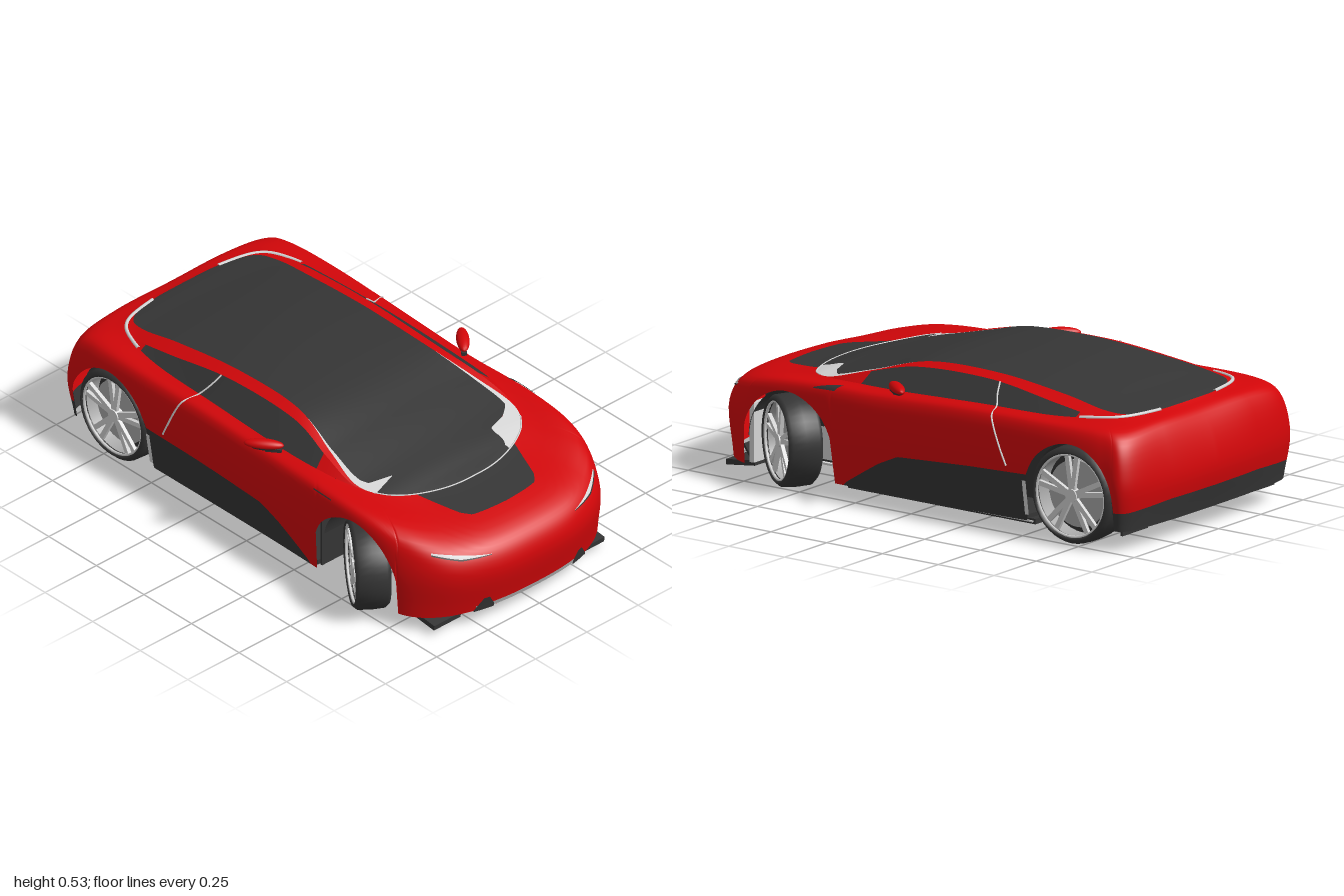
import * as THREE from 'three';
import { mergeVertices } from 'three/addons/utils/BufferGeometryUtils.js';

const material = (name, color) => {
  const m = new THREE.MeshStandardMaterial({ color, side: THREE.DoubleSide });
  m.name = name;
  return m;
};
const V = (x, y, z) => new THREE.Vector3(x, y, z);

// piecewise linear lookup through [position, value] knots
const knots = (...p) => k => {
  if (k <= p[0][0]) return p[0][1];
  for (let i = 1; i < p.length; i++) {
    if (k <= p[i][0]) return THREE.MathUtils.mapLinear(k, p[i - 1][0], p[i][0], p[i - 1][1], p[i][1]);
  }
  return p[p.length - 1][1];
};

// Ring round the car: k = 0 is the nose, k = 12 the tail on the left, k = -12 on the right
const ring = half => {
  const pts = [...half.slice(1).reverse().map(([x, y, z]) => V(-x, y, z)), ...half.map(p => V(...p))];
  const curve = new THREE.CatmullRomCurve3(pts, false, 'catmullrom', 0.5);
  return k => curve.getPoint((k + 12) / 24);
};

const bottom = ring([[0, .065, .975], [.2, .065, .96], [.36, .06, .9], [.46, .06, .8], [.488, .06, .65], [.485, .055, .4],
  [.475, .05, .1], [.475, .05, -.25], [.485, .06, -.6], [.49, .08, -.85], [.46, .08, -.94], [.25, .08, -.965], [0, .08, -.97]]);
const waist = ring([[0, .24, 1], [.2, .24, .985], [.36, .25, .92], [.462, .26, .8], [.5, .28, .65], [.504, .28, .4],
  [.5, .28, .1], [.503, .29, -.25], [.512, .29, -.6], [.513, .27, -.85], [.48, .26, -.955], [.25, .25, -.99], [0, .25, -1]]);
const shoulder = ring([[0, .325, .95], [.2, .325, .935], [.34, .335, .87], [.435, .36, .77], [.483, .385, .63], [.493, .4, .4],
  [.482, .405, .1], [.482, .42, -.25], [.488, .425, -.6], [.48, .42, -.83], [.44, .41, -.92], [.25, .42, -.94], [0, .42, -.94]]);
const base = ring([[0, .385, .66], [.12, .385, .65], [.25, .39, .605], [.34, .4, .54], [.39, .41, .44], [.42, .42, .3],
  [.43, .425, .1], [.427, .437, -.25], [.415, .44, -.55], [.385, .45, -.72], [.32, .455, -.82], [.16, .455, -.86], [0, .455, -.865]]);
const rail = ring([[0, .385, .66], [.12, .385, .65], [.25, .39, .605], [.34, .4, .54], [.387, .412, .44], [.378, .455, .29],
  [.345, .5, .08], [.35, .508, -.25], [.372, .475, -.55], [.37, .454, -.72], [.318, .456, -.82], [.16, .455, -.86], [0, .455, -.865]]);
const glassEdge = ring([[0, .385, .66], [.12, .385, .65], [.25, .39, .605], [.34, .4, .54], [.38, .414, .44], [.35, .458, .28],
  [.303, .515, .06], [.302, .522, -.25], [.315, .495, -.55], [.325, .468, -.73], [.29, .458, -.82], [.16, .455, -.86], [0, .455, -.865]]);
const ridge = ring([[0, .385, .66], [0, .388, .65], [0, .4, .605], [0, .418, .54], [0, .44, .44], [0, .478, .28],
  [0, .522, .06], [0, .532, -.25], [0, .508, -.55], [0, .478, -.73], [0, .465, -.82], [0, .457, -.86], [0, .455, -.865]]);

// Body skin: v runs 0 bottom, 1 waist, 2 shoulder, 3 base of the cabin
const columns = new Map();
const body = (k, v) => {
  if (!columns.has(k)) columns.set(k, new THREE.CatmullRomCurve3([bottom(k), waist(k), shoulder(k), base(k)]));
  return columns.get(k).getPoint(v / 3);
};
const heightToV = (k, y) => {
  let a = 0, b = 2.6;
  if (body(k, 0).y >= y) return 0;
  for (let i = 0; i < 22; i++) {
    const m = (a + b) / 2;
    if (body(k, m).y < y) a = m; else b = m;
  }
  return a;
};
const wheelArch = k => {
  const z = waist(k).z;
  const arc = (c, y, r) => Math.abs(z - c) < r ? y + Math.sqrt(r * r - (z - c) ** 2) : 0;
  return Math.max(arc(.56, .16, .205), arc(-.71, .18, .195));
};
const darkLine = knots([5.25, 0], [5.3, .06], [5.83, .16], [6.1, .2], [7, .22], [8, .237], [9.2, .15], [10, .15], [11, .165]);
const cabinSide = (k, s) => base(k).lerp(rail(k), s);
const cabinRail = (k, s) => rail(k).lerp(glassEdge(k), s);
const canopy = (k, s) => {
  const e = glassEdge(k), c = ridge(k);
  return V(e.x * (1 - s), e.y + (c.y - e.y) * (1 - (1 - s) ** 2), e.z + (c.z - e.z) * s);
};

export function createModel() {
  const car = new THREE.Group();
  car.name = 'sportsCar';
  const red = material('red paint', 0xd20609), dark = material('dark glass and trim', 0x353535);
  const light = material('light trim', 0xd6d6d6), silver = material('wheel silver', 0xaaaaaa);

  const add = (name, geometry, mat, parent = car, x = 0, y = 0, z = 0) => {
    const mesh = new THREE.Mesh(geometry, mat);
    mesh.name = name;
    mesh.position.set(x, y, z);
    parent.add(mesh);
    return mesh;
  };
  const box = (w, h, d) => new THREE.BoxGeometry(w, h, d);

  // Patch of a skin between k0 and k1, from lo(k) to hi(k), raised by lift
  const band = (name, mat, skin, k0, k1, lo, hi, nk, nv, lift = 0) => {
    const pos = [], idx = [];
    for (let i = 0; i <= nk; i++) {
      const k = k0 + (k1 - k0) * i / nk, a = lo(k), b = hi(k);
      for (let j = 0; j <= nv; j++) {
        pos.push(...skin(k, a + (b - a) * j / nv).toArray());
        if (i < nk && j < nv) {
          const p = i * (nv + 1) + j, q = p + nv + 1;
          idx.push(p, q, p + 1, q, q + 1, p + 1);
        }
      }
    }
    let g = new THREE.BufferGeometry();
    g.setAttribute('position', new THREE.Float32BufferAttribute(pos, 3));
    g.setIndex(idx);
    g = mergeVertices(g, 1e-5);
    g.computeVertexNormals();
    const P = g.attributes.position, N = g.attributes.normal;
    if (lift) for (let i = 0; i < P.count; i++) {
      P.setXYZ(i, P.getX(i) + N.getX(i) * lift, P.getY(i) + N.getY(i) * lift, P.getZ(i) + N.getZ(i) * lift);
    }
    return add(name, g, mat);
  };
  const pair = (name, mat, skin, k0, k1, ...rest) => {
    band('left' + name, mat, skin, k0, k1, ...rest);
    band('right' + name, mat, skin, -k1, -k0, ...rest);
  };
  const zero = () => 0, one = () => 1;

  // Painted shell with wheel arches, dark sills, rear bumper and cowl panel
  const paintStart = k => heightToV(k, Math.max(darkLine(Math.abs(k)), wheelArch(k)));
  const archStart = k => heightToV(k, wheelArch(k));
  const cowl = knots([0, .52], [.9, .5], [1.15, .42], [1.9, 0]);
  const cowlEdge = k => 3 - cowl(Math.abs(k));
  band('bodyShell', red, body, -12, 12, paintStart, cowlEdge, 576, 18);
  band('cowlPanel', dark, body, -1.9, 1.9, cowlEdge, () => 3, 60, 6);
  pair('Sill', dark, body, 5.25, 8.2, archStart, paintStart, 72, 5);
  pair('RearBumper', dark, body, 9, 12, archStart, paintStart, 72, 5);

  // Cabin: pillars, side windows, roof rails, canopy glass
  pair('FrontPillar', red, cabinSide, 2.5, 5.1, zero, one, 40, 4);
  pair('SideWindow', dark, cabinSide, 5.1, 8.6, zero, one, 60, 4);
  pair('RearPillar', red, cabinSide, 8.6, 12, zero, one, 40, 4);
  pair('RoofRail', red, cabinRail, 2.5, 12, zero, one, 120, 3);
  const leftGap = knots([1.6, 0], [2, .2], [3, .38], [3.3, .4], [3.6, .2], [4, .07], [5, .03], [5.8, 0]);
  const rightGap = knots([3.2, 0], [3.5, .33], [3.75, .1], [4, .07], [5, .03], [5.8, 0]);
  const gap = k => k > 0 ? leftGap(k) : rightGap(-k);
  band('canopyGlass', dark, canopy, -12, 12, gap, one, 288, 10);
  band('leftWindscreenCorner', light, canopy, 1.6, 5.8, zero, gap, 80, 4);
  band('rightWindscreenCorner', light, canopy, -5.8, -3.2, zero, gap, 60, 4);

  // Headlights, fender vents, lower grille and sill ends lie on the skin
  const atHeight = f => k => heightToV(k, f(Math.abs(k)));
  const lampMiddle = atHeight(knots([1, .292], [1.7, .297], [2.4, .32]));
  pair('Headlight', light, body, 1, 2.4, lampMiddle, atHeight(knots([1, .293], [1.7, .31], [2.4, .325])), 24, 3, .004);
  pair('HeadlightShadow', dark, body, 1, 2.4, atHeight(knots([1, .29], [1.7, .292], [2.4, .316])), lampMiddle, 24, 2, .004);
  pair('FenderVent', dark, body, 4.85, 5.2, () => 1.95, knots([4.85, 2], [5.2, 2.4]), 8, 5, .003);
  band('grille', silver, body, -1.35, 1.35, atHeight(() => .07), atHeight(() => .086), 30, 2, .004);
  pair('Intake', dark, body, .95, 1.4, atHeight(() => .062),
    atHeight(knots([.95, .08], [1.08, .118], [1.2, .118], [1.4, .07])), 20, 3, .006);
  pair('SillEnd', light, body, 7.7, 7.75, atHeight(() => .08), atHeight(() => .21), 4, 6, .004);

  // Thin light seams
  const seam = (name, points, r) =>
    add(name, new THREE.TubeGeometry(new THREE.CatmullRomCurve3(points), 48, r, 6), light);
  const along = (a, b) => Array.from({ length: 13 }, (_, i) => base(a + (b - a) * i / 12));
  seam('windscreenSeam', along(-3.3, 3.3), .003);
  for (const s of [1, -1]) {
    seam('rearGlassSeam', along(s * 8.7, s * 11), .007);
    const onBody = [.42, .38, .34, .3, .25].map(y => {
      const k = s * (7.5 - (y - .25) * 1.3);
      return body(k, heightToV(k, y));
    });
    const door = [rail(s * 7.12), cabinSide(s * 7.17, .5), base(s * 7.24), ...onBody];
    seam('doorSeam', door.map(p => p.add(V(s * .002, .001, 0))), .0035);
  }

  // Underbody
  const half = [[0, .94], [.3, .9], [.4, .8], [.28, .75], [.28, .37], [.47, .34], [.47, -.5], [.3, -.52], [.3, -.89], [0, -.92]];
  const outline = [...half, ...half.slice(1, -1).reverse().map(([x, z]) => [-x, z])].map(p => new THREE.Vector2(...p));
  const floor = new THREE.ExtrudeGeometry(new THREE.Shape(outline), { depth: .015, bevelEnabled: false }).rotateX(Math.PI / 2);
  add('floor', floor, dark, car, 0, .075);
  add('floorPan', box(.9, .02, .84), dark, car, 0, .046, -.1);
  add('frontTray', box(.58, .008, .5), light, car, 0, .054, .65);
  add('chassis', box(.56, .24, 1.7), dark, car, 0, .18, -.03);

  // Wheel: axle along x, outer face towards +x
  const profile = [[.146, -.06], [.158, -.065], [.172, -.05], [.175, 0], [.172, .05], [.158, .065], [.15, .062], [.146, .045]];
  const tyreGeo = new THREE.LatheGeometry(profile.map(p => new THREE.Vector2(...p)), 40).rotateZ(-Math.PI / 2);
  const cyl = (r, h, open) => new THREE.CylinderGeometry(r, r, h, 36, 1, open).rotateZ(-Math.PI / 2);
  const makeWheel = (name, scale) => {
    const w = new THREE.Group();
    w.name = name;
    add('tyre', tyreGeo, dark, w);
    add('rimBarrel', cyl(.147, .11, true), silver, w);
    add('rimLip', new THREE.TorusGeometry(.147, .005, 6, 40).rotateY(Math.PI / 2), light, w, .056);
    add('brakeDisc', cyl(.12, .012), silver, w, .012);
    add('wheelBack', cyl(.146, .01), dark, w, -.02);
    add('hub', cyl(.024, .03), light, w, .042);
    for (let i = 0; i < 5; i++) {
      for (const d of [-.15, .15]) {
        const spoke = add('spoke', box(.014, .125, .018).translate(0, .083, 0), light, w, .045);
        spoke.rotation.x = i * Math.PI * .4 + d;
      }
    }
    w.scale.set(1, scale, scale);
    return w;
  };

  for (const s of [1, -1]) {
    const side = s > 0 ? 'left' : 'right';
    // Front wheels are steered towards the car's right
    const front = makeWheel(side + 'FrontWheel', .97);
    front.position.set(s * .444, .172, .575);
    front.rotation.y = (s > 0 ? 0 : Math.PI) - .6;
    const rear = makeWheel(side + 'RearWheel', 1.03);
    rear.position.set(s * .437, .182, -.71);
    rear.rotation.y = s > 0 ? 0 : Math.PI;
    car.add(front, rear);

    // Wheel wells: dark arch liners over light inner walls
    for (const [z, y, r] of [[.56, .16, .203], [-.71, .18, .193]]) {
      const liner = new THREE.CylinderGeometry(r, r, .17, 28, 1, true, 0, Math.PI).rotateZ(Math.PI / 2);
      add('wheelWell', liner, dark, car, s * .37, y, z);
      add('wellBack', box(.006, .16, .38), dark, car, s * .284, .25, z);
      add('wellWall', box(.006, .12, .26), light, car, s * .286, .13, z);
    }
    add('frontWellPanel', box(.15, .22, .02), light, car, s * .375, .17, .753);
    add('rearWellPanel', box(.15, .15, .01), dark, car, s * .375, .13, -.905);
    add('frontWellRear', box(.18, .2, .01), dark, car, s * .375, .16, .355);
    add('skirtEdge', box(.006, .006, .42), light, car, s * .452, .046, -.3);
    add('frontLip', box(.13, .02, .13), dark, car, s * .35, .04, .83).rotation.x = .12;

    // Door mirror: red cap over a dark housing, on a short stem
    const mirror = new THREE.Group();
    mirror.name = side + 'Mirror';
    mirror.position.set(s * .485, .452, .075);
    mirror.rotation.y = s * .9;
    add('mirrorCap', new THREE.SphereGeometry(1, 20, 10, 0, Math.PI * 2, 0, Math.PI * .62), red, mirror).scale.set(.073, .019, .024);
    add('mirrorHousing', new THREE.SphereGeometry(1, 20, 10), dark, mirror, 0, -.006).scale.set(.058, .017, .02);
    add('mirrorStem', box(.06, .012, .02), dark, mirror, -s * .035, -.02);
    car.add(mirror);
  }
  return car;
}
